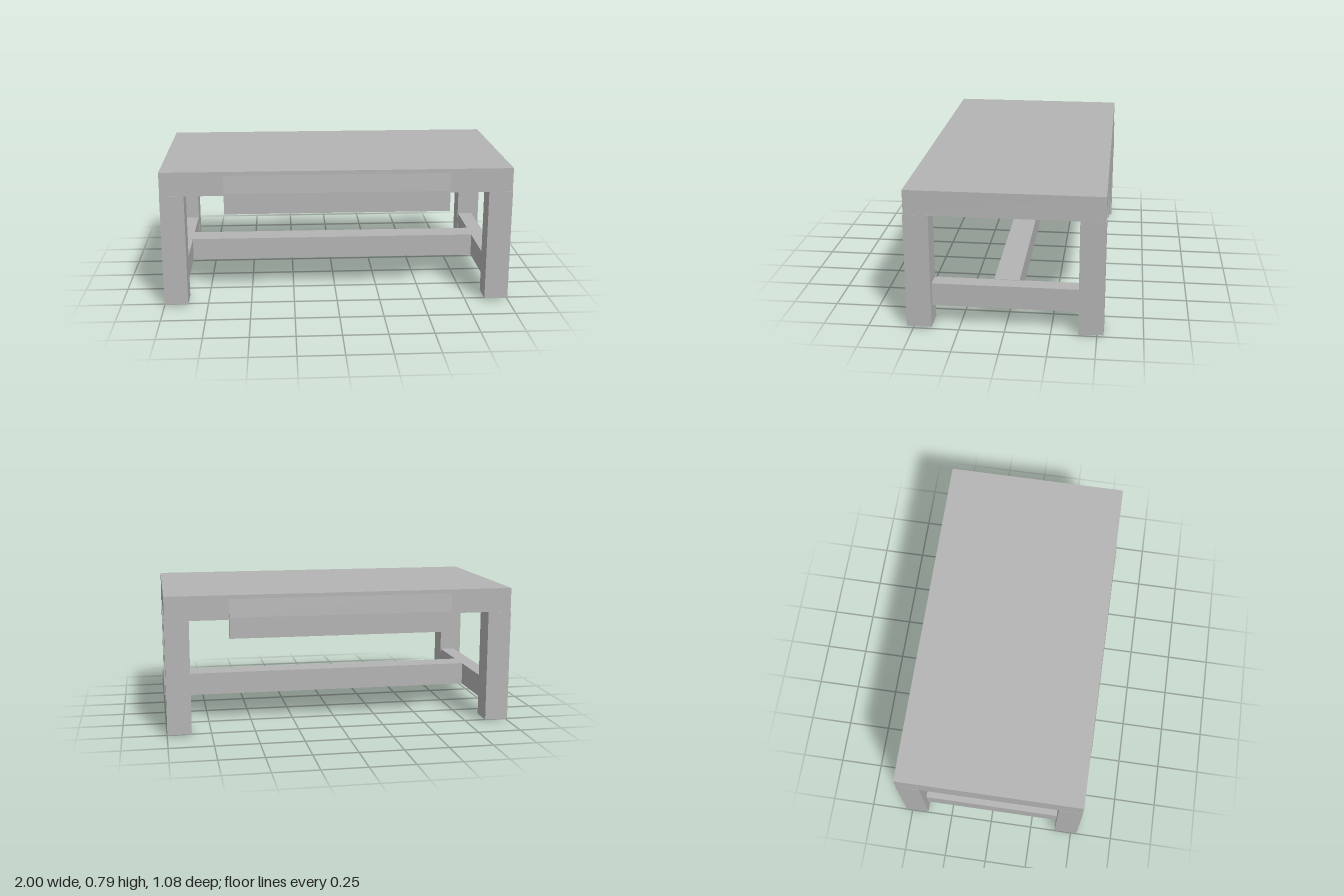
import * as THREE from 'three';

export function createModel() {
  const table = new THREE.Group();
  table.name = 'coffeeTable';
  const grey = new THREE.MeshStandardMaterial({ color: 0xb4b4b4 });
  grey.name = 'plain grey';

  // Box given by its minimum and maximum corners
  function box(name, x0, x1, y0, y1, z0, z1) {
    const geometry = new THREE.BoxGeometry(x1 - x0, y1 - y0, z1 - z0);
    geometry.translate((x0 + x1) / 2, (y0 + y1) / 2, (z0 + z1) / 2);
    const mesh = new THREE.Mesh(geometry, grey);
    mesh.name = name;
    table.add(mesh);
    return mesh;
  }

  // Thick top, flush with the outer faces of the legs
  box('tableTop', -0.998, 0.998, 0.656, 0.794, -0.533, 0.533);

  // Four square legs
  for (const [side, sx] of [['Right', -1], ['Left', 1]]) {
    for (const [end, sz] of [['front', 1], ['back', -1]]) {
      const x = sx * 0.931, z = sz * 0.4675;
      const leg = box(`${end}${side}Leg`, x - 0.068, x + 0.068, 0.01, 0.656, z - 0.0685, z + 0.0685);
      // One foot slopes down a little at its inner corner
      if (sx > 0 && sz < 0) {
        const p = leg.geometry.attributes.position;
        for (let i = 0; i < p.count; i++) {
          if (p.getY(i) < 0.1 && p.getZ(i) > z) p.setY(i, p.getX(i) < x ? 0 : 0.004);
        }
        leg.geometry.computeVertexNormals();
      }
    }
    // Side stretcher, set in from the outer face of the legs
    const xs = sx * 0.91;
    box(`side${side}Stretcher`, xs - 0.045, xs + 0.045, 0.12, 0.25, -0.41, 0.41);
  }

  // Long stretcher joining the two side stretchers
  box('centreStretcher', -0.87, 0.87, 0.12, 0.252, -0.07, 0.07);

  // Drawer fronts hanging below the top, their upper part leaning back into it
  const profile = new THREE.Shape([
    [0.505, 0.55], [0.541, 0.55], [0.541, 0.668], [0.532, 0.785], [0.505, 0.785],
  ].map(([z, y]) => new THREE.Vector2(-z, y)));
  for (const [name, turn] of [['frontDrawerPanel', 0], ['backDrawerPanel', Math.PI]]) {
    const geometry = new THREE.ExtrudeGeometry(profile, { depth: 1.28, bevelEnabled: false });
    geometry.translate(0, 0, -0.64);
    geometry.rotateY(Math.PI / 2 + turn);
    const panel = new THREE.Mesh(geometry, grey);
    panel.name = name;
    table.add(panel);
  }

  return table;
}
